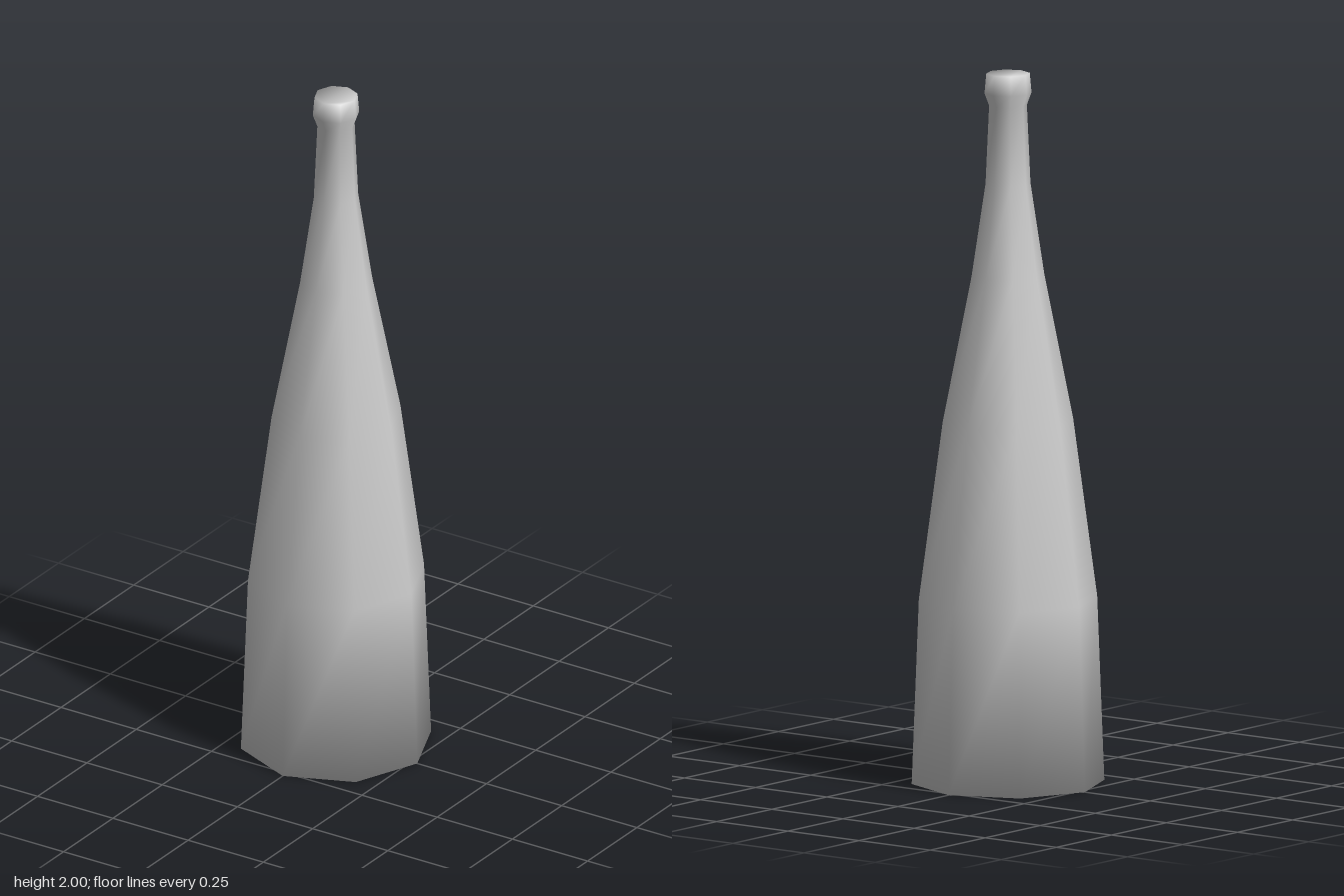
import * as THREE from 'three';

const SIDES = 8;

// Outline from base to mouth: [radius, height]
const PROFILE = [
  [0.27, 0], [0.25, 0.52], [0.183, 1.02], [0.102, 1.43],
  [0.063, 1.69], [0.053, 1.91], [0.066, 1.945], [0.061, 2],
];

// Smooth normal of a ring as [outward, up], blended with the flat cap at each end
function ringNormal(i) {
  const slope = (a, b) => {
    const dr = b[0] - a[0], dy = b[1] - a[1], l = Math.hypot(dr, dy);
    return [dy / l, -dr / l];
  };
  const last = PROFILE.length - 1;
  const below = i > 0 ? slope(PROFILE[i - 1], PROFILE[i]) : [0, -0.8];
  const above = i < last ? slope(PROFILE[i], PROFILE[i + 1]) : [0, 0.8];
  const n = [below[0] + above[0], below[1] + above[1]];
  const l = Math.hypot(n[0], n[1]);
  return [n[0] / l, n[1] / l];
}

// Eight-sided closed shell with normals shared between walls and caps
function bottleGeometry() {
  const positions = [], normals = [], index = [];
  PROFILE.forEach(([r, y], i) => {
    const [out, up] = ringNormal(i);
    for (let s = 0; s < SIDES; s++) {
      const a = (s / SIDES) * Math.PI * 2;
      positions.push(r * Math.sin(a), y, r * Math.cos(a));
      normals.push(out * Math.sin(a), up, out * Math.cos(a));
    }
  });

  // Walls
  for (let i = 0; i < PROFILE.length - 1; i++) {
    for (let s = 0; s < SIDES; s++) {
      const a = i * SIDES + s, b = i * SIDES + (s + 1) % SIDES;
      index.push(a, b, b + SIDES, a, b + SIDES, a + SIDES);
    }
  }

  // Flat base and flat mouth
  const top = (PROFILE.length - 1) * SIDES;
  for (let s = 1; s < SIDES - 1; s++) {
    index.push(0, s + 1, s);
    index.push(top, top + s, top + s + 1);
  }

  const geometry = new THREE.BufferGeometry();
  geometry.setAttribute('position', new THREE.Float32BufferAttribute(positions, 3));
  geometry.setAttribute('normal', new THREE.Float32BufferAttribute(normals, 3));
  geometry.setIndex(index);
  return geometry;
}

export function createModel() {
  const group = new THREE.Group();
  group.name = 'bottle';
  const body = new THREE.Mesh(
    bottleGeometry(),
    new THREE.MeshStandardMaterial({ color: 0xcccccc })
  );
  body.name = 'bottleBody';
  group.add(body);
  return group;
}
